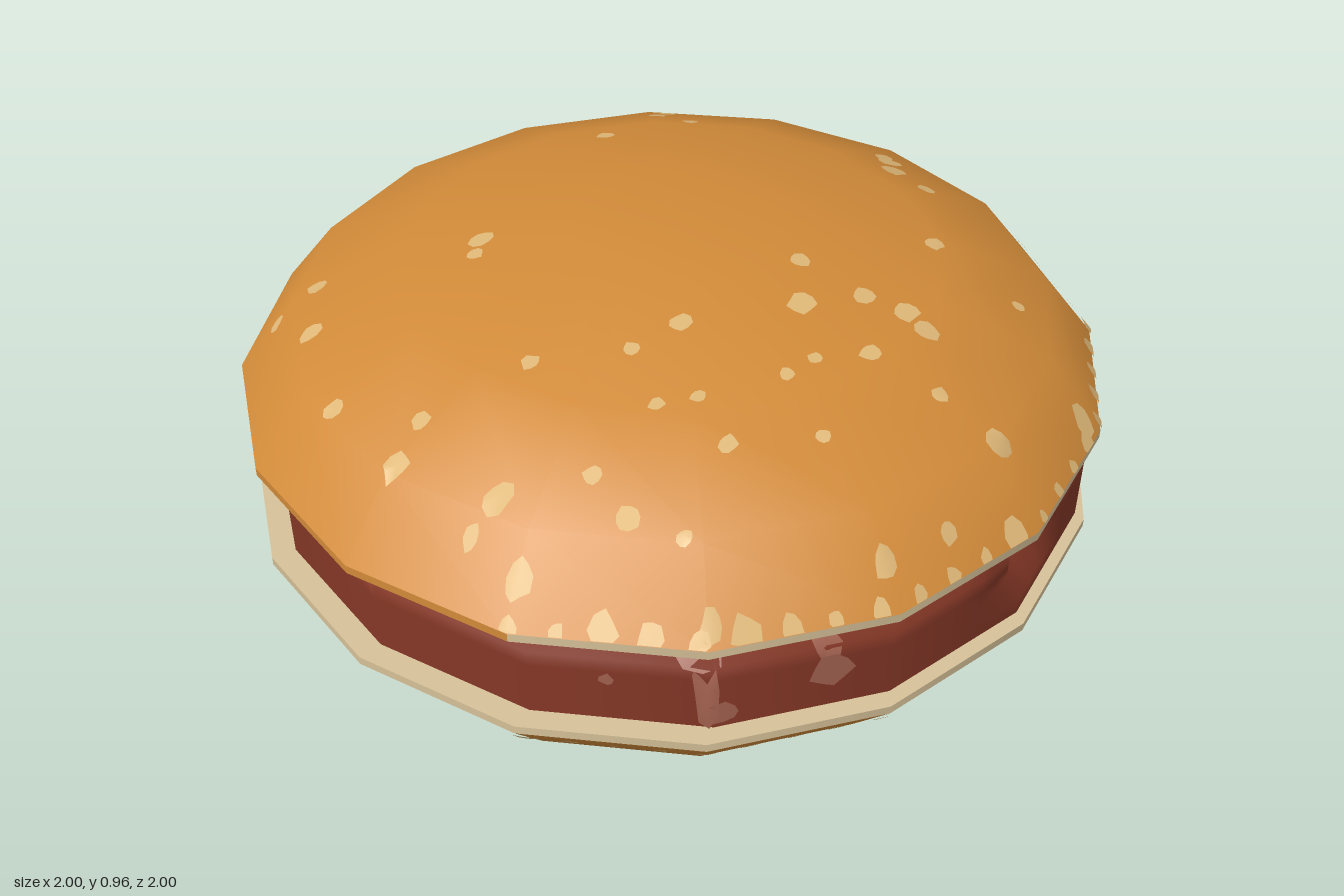
import * as THREE from 'three';
import { mergeGeometries } from 'three/addons/utils/BufferGeometryUtils.js';

const mat = (name, color, side = THREE.FrontSide) =>
  Object.assign(new THREE.MeshStandardMaterial({ color, side }), { name });
const crust = mat('crust', 0xd28b39);
const crumb = mat('crumb', 0xd6c198);
const seed = mat('seed', 0xdfb878);
const meat = mat('meat', 0x843726, THREE.DoubleSide);
const paleMeat = mat('paleMeat', 0xa2614f, THREE.DoubleSide);

const SIDES = 16, MID = 0.48;
const DOME = [[1, 0.14], [0.87, 0.3], [0.61, 0.41], [0.24, 0.48], [0, 0.48]];
const SEEDS = [
  -0.05, -0.87, 0.06, -0.91, 0.19, -0.95, 0.06, -0.75, 0.09, -0.73, 0.14, -0.67, 0.25, -0.65,
  -0.52, -0.58, -0.36, -0.49, -0.72, -0.58, -0.5, -0.52, -0.45, -0.27, 0.66, -0.42, 0.44, -0.4,
  0.9, -0.33, 0.3, -0.08, 0.46, -0.1, 0.55, -0.13, 0.61, -0.12, 0.39, 0.03, 0.73, 0, 0.87, -0.02,
  0.58, 0.04, 0.51, 0.14, 0.5, 0.22, 0.25, 0.26, -0.31, 0.29, -0.28, 0.34, 0.22, 0.38,
  0.41, 0.39, 0.64, 0.28, 0.36, 0.46, 0.52, 0.43, 0.08, 0.53, -0.59, 0.55, -0.62, 0.65, -0.47, 0.67,
  0.47, 0.67, 0.58, 0.63, 0.69, 0.68, 0.36, 0.65, -0.23, 0.81, -0.02, 0.75, 0.24, 0.79,
  0.23, 0.86, 0.36, 0.86, 0.01, 0.85, 0.9, 0.2, 0.86, 0.36];

const noise = i => { const s = Math.sin(i * 12.9898) * 43758.5453; return s - Math.floor(s); };
const mesh = (name, geo, material) => Object.assign(new THREE.Mesh(geo, material), { name });
const lathe = (pts, n = SIDES, start = 0, len = Math.PI * 2) =>
  new THREE.LatheGeometry(pts.map(p => new THREE.Vector2(...p)), n, start, len);

// distance to the polygon's side, relative to its corner radius
function polyScale(a) {
  const step = (Math.PI * 2) / SIDES;
  const d = a - (Math.floor(a / step) + 0.5) * step;
  return Math.cos(step / 2) / Math.cos(d);
}

// point on the faceted dome above (x, z), lifted slightly
function onDome(x, z) {
  let rho = Math.hypot(x, z) / polyScale(Math.atan2(x, z));
  if (rho > 1) { x /= rho; z /= rho; rho = 1; }
  let i = 0;
  while (i < DOME.length - 2 && DOME[i + 1][0] > rho) i++;
  const [r0, y0] = DOME[i], [r1, y1] = DOME[i + 1];
  const y = y0 + (y1 - y0) * (r0 - rho) / (r0 - r1);
  return [x * 1.003, y + 0.005, z * 1.003];
}

// irregular fan patch laid on a surface by the function place(u, v)
function patch(place, u, v, ru, rv, id) {
  const n = 9, pos = [...place(u, v)], index = [];
  for (let i = 0; i < n; i++) {
    const a = (i / n) * Math.PI * 2, k = 0.8 + 0.4 * noise(id * 17 + i);
    pos.push(...place(u + ru * k * Math.cos(a), v - rv * k * Math.sin(a)));
    index.push(0, i + 1, ((i + 1) % n) + 1);
  }
  const g = new THREE.BufferGeometry();
  g.setAttribute('position', new THREE.Float32BufferAttribute(pos, 3));
  g.setIndex(index);
  g.computeVertexNormals();
  return g;
}

// half bun, its cut face pointing down
function bun(name) {
  const g = new THREE.Group();
  g.name = name;
  g.add(mesh('crustDome', lathe(DOME), crust));
  g.add(mesh('cutFace', new THREE.CircleGeometry(1, SIDES).rotateX(Math.PI / 2).translate(0, 0.12, 0), crumb));
  // rim is crumb coloured on ten of its sides
  const step = Math.PI / 8, rim = [[1, 0.12], [1, 0.14]];
  g.add(mesh('paleRim', lathe(rim, 10, step, step * 10), crumb));
  g.add(mesh('crustRim', lathe(rim, 6, step * 11, step * 6), crust));

  const seeds = [], drips = [];
  for (let i = 0; i < SEEDS.length; i += 2) {
    const s = 0.014 + 0.016 * noise(i + 3);
    seeds.push(patch(onDome, SEEDS[i], SEEDS[i + 1], s, s * 1.15, i));
  }
  g.add(mesh('seeds', mergeGeometries(seeds), seed));
  for (let i = 0; i < 42; i++) {
    const a = step + (i / 42) * step * 10, r = polyScale(a) * 0.995;
    const s = 0.012 + 0.022 * noise(i + 50);
    drips.push(patch(onDome, Math.sin(a) * r, Math.cos(a) * r, s, s, i + 90));
  }
  g.add(mesh('rimDrips', mergeGeometries(drips), seed));
  return g;
}

// wall point of the patty at angle a and height y
function onPatty(a, y) {
  const r = (y < 0.52 ? 0.965 : 0.965 - (y - 0.52) * 0.82) * polyScale(a) + 0.005;
  return [Math.sin(a) * r, y, Math.cos(a) * r];
}

function patty() {
  const g = new THREE.Group();
  g.name = 'patty';
  const geo = lathe([[0.965, 0.35], [0.965, 0.4], [0.965, 0.45], [0.965, 0.49], [0.965, 0.525],
    [0.925, 0.572], [0.6, 0.592], [0, 0.597]], 96);
  const p = geo.attributes.position;
  // bite mark in the upper edge of the left side
  for (let i = 0; i < p.count; i++) {
    const x = p.getX(i), y = p.getY(i), z = p.getZ(i);
    const w = Math.max(0, 1 - Math.abs(z + 0.07) / 0.18);
    if (x > 0.8 && y > 0.44) p.setXYZ(i, x * (1 - 0.06 * w), y - (y - 0.44) * 0.75 * w, z);
  }
  geo.computeVertexNormals();
  // square the round wall off to the bun's number of sides
  for (let i = 0; i < p.count; i++) {
    const k = polyScale(Math.atan2(p.getX(i), p.getZ(i)));
    p.setX(i, p.getX(i) * k);
    p.setZ(i, p.getZ(i) * k);
  }
  g.add(mesh('pattyBody', geo, meat));

  // pale streaks: angle, height, half width, half height
  const streaks = [[0.77, 0.47, 0.03, 0.1], [0.75, 0.55, 0.055, 0.03], [0.8, 0.4, 0.045, 0.03],
    [1.04, 0.46, 0.045, 0.045], [1.03, 0.53, 0.03, 0.035], [0.56, 0.475, 0.015, 0.015],
    [0.61, 0.56, 0.04, 0.012], [2.2, 0.48, 0.03, 0.025], [2.37, 0.45, 0.06, 0.045],
    [2.42, 0.39, 0.04, 0.03], [2.58, 0.43, 0.025, 0.05], [-0.65, 0.56, 0.06, 0.015],
    [-2.7, 0.45, 0.02, 0.03]];
  g.add(mesh('paleStreaks', mergeGeometries(streaks.map((s, i) => patch(onPatty, ...s, i + 200))), paleMeat));
  // crumbs at both ends of the bite
  const bits = [[1.79, 0.56, 0.03, 0.035], [1.5, 0.57, 0.02, 0.012]];
  const crumbs = mesh('biteCrumbs', mergeGeometries(bits.map((s, i) => patch(onPatty, ...s, i + 300))),
    mat('crumbBits', 0xd28b39, THREE.DoubleSide));
  g.add(crumbs);
  g.position.set(0.005, 0, -0.02);
  return g;
}

export function createModel() {
  const model = new THREE.Group();
  model.name = 'burger';
  const top = bun('topBun'), bottom = bun('bottomBun');
  top.position.y = bottom.position.y = MID;
  bottom.rotation.x = Math.PI;
  model.add(top, bottom, patty());
  return model;
}
